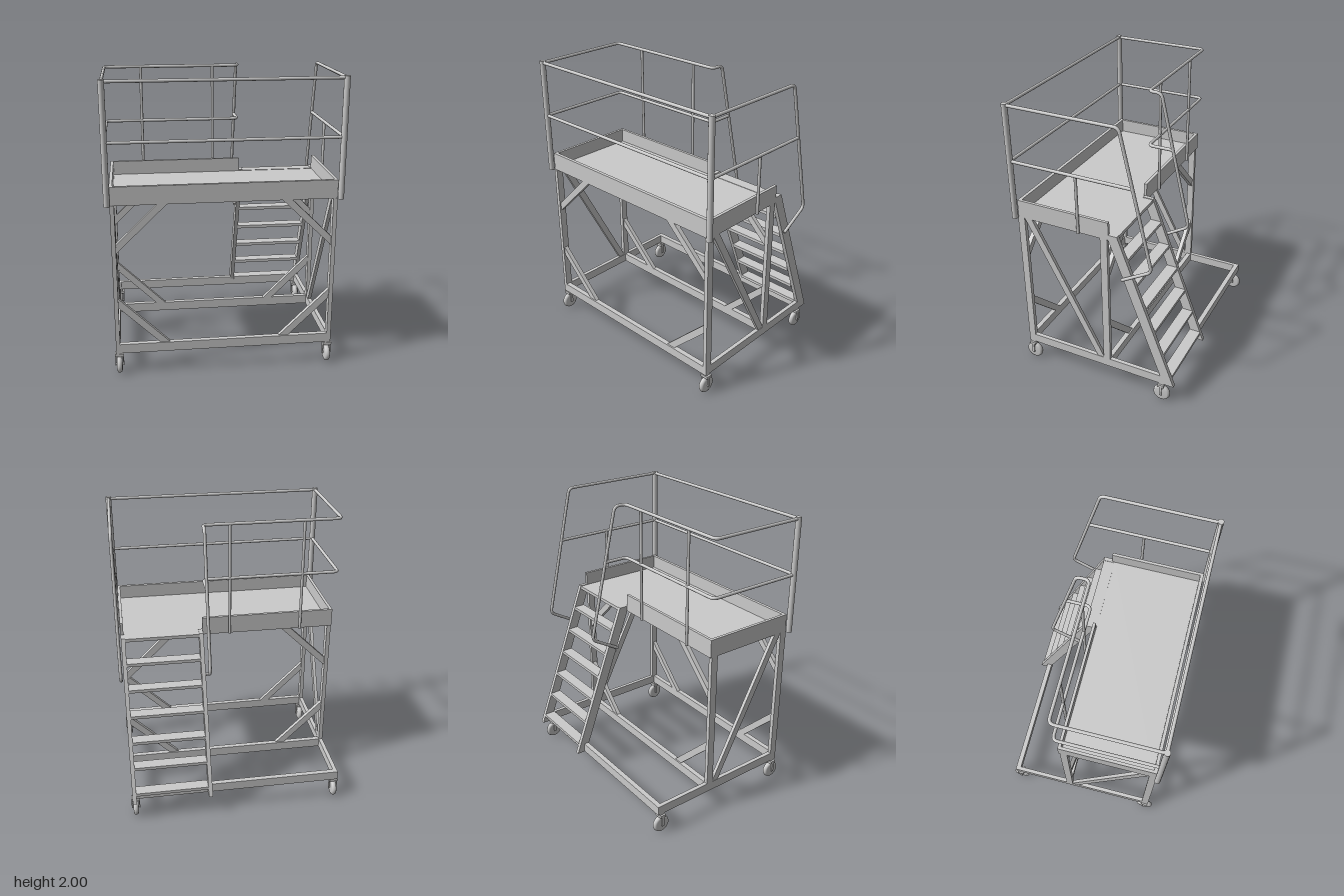
import * as THREE from 'three';

const mat = new THREE.MeshStandardMaterial({ color: 0xcccccc, side: THREE.DoubleSide });

export function createModel() {
  const root = new THREE.Group();
  const V = (x, y, z) => new THREE.Vector3(x, y, z);

  const add = (name, geo, parent = root) => {
    const m = new THREE.Mesh(geo, mat);
    m.name = name;
    parent.add(m);
    return m;
  };
  // Box given by its min and max on each axis
  const box = (name, x0, x1, y0, y1, z0, z1, parent) => {
    const g = new THREE.BoxGeometry(x1 - x0, y1 - y0, z1 - z0);
    g.translate((x0 + x1) / 2, (y0 + y1) / 2, (z0 + z1) / 2);
    return add(name, g, parent);
  };
  // Flat plate drawn in (x, y) and extruded from z0 to z1
  const plateXY = (name, pts, z0, z1) => {
    const g = new THREE.ExtrudeGeometry(new THREE.Shape(pts.map(p => new THREE.Vector2(...p))),
      { depth: z1 - z0, bevelEnabled: false });
    g.translate(0, 0, z0);
    return add(name, g);
  };
  // Flat plate drawn in (z, y) and extruded from x0 to x1
  const plateZY = (name, pts, x0, x1) => {
    const g = new THREE.ExtrudeGeometry(new THREE.Shape(pts.map(([z, y]) => new THREE.Vector2(-z, y))),
      { depth: x1 - x0, bevelEnabled: false });
    g.rotateY(Math.PI / 2);
    g.translate(x0, 0, 0);
    return add(name, g);
  };
  // Bent tube with rounded corners and closed ends
  const pipe = (name, pts, r = 0.011, bend = 0.035) => {
    const path = new THREE.CurvePath();
    let from = pts[0];
    for (let i = 1; i < pts.length - 1; i++) {
      const p = pts[i];
      const a = p.clone().add(pts[i - 1].clone().sub(p).setLength(bend));
      const b = p.clone().add(pts[i + 1].clone().sub(p).setLength(bend));
      path.add(new THREE.LineCurve3(from, a));
      path.add(new THREE.QuadraticBezierCurve3(a, p, b));
      from = b;
    }
    const last = pts[pts.length - 1];
    path.add(new THREE.LineCurve3(from, last));
    const group = new THREE.Group();
    group.name = name;
    add(name + 'Tube', new THREE.TubeGeometry(path, pts.length > 2 ? 180 : 1, r, 12), group);
    [[pts[0], pts[1]], [last, pts[pts.length - 2]]].forEach(([end, next]) => {
      const cap = add(name + 'Cap', new THREE.CircleGeometry(r, 12), group);
      cap.position.copy(end);
      cap.lookAt(end.clone().multiplyScalar(2).sub(next));
    });
    root.add(group);
  };

  // Base frame
  const B0 = 0.155, B1 = 0.22, W = 0.74, D = 1.2;
  [['front', 0.515, 0.55], ['middle', -0.11, -0.075], ['rear', -0.53, -0.495]].forEach(([n, z0, z1]) =>
    box(n + 'BaseBeam', -W + 0.028, W - 0.028, B0, B1, z0, z1));
  for (const s of [-1, 1]) {
    const xa = Math.min(s * W, s * (W - 0.028)), xb = xa + 0.028;
    box('sideBaseBeam', xa, xb, B0, B1, -0.53, 0.55);
    // Legs
    box('frontLeg', xa, xb, B1, D, 0.5, 0.55);
    box('rearLeg', xa, xb, B1, D, -0.11, -0.06);
    // Long diagonal on each side
    plateZY('sideBrace', [[0.5, D], [0.445, D], [-0.064, B1], [-0.012, B1]], xa + 0.002, xb - 0.002);
    // Corner braces on the front and rear leg planes
    for (const [z0, z1] of [[0.51, 0.54], [-0.1, -0.07]]) {
      plateXY('upperCornerBrace', [[0.715, 0.87], [0.715, 0.93], [0.44, D], [0.375, D]].map(([x, y]) => [s * x, y]), z0, z1);
      plateXY('lowerCornerBrace', [[0.715, 0.555], [0.715, 0.49], [0.44, B1], [0.375, B1]]
        .map(([x, y]) => [s * x, y]), z0, z1);
    }
  }

  // Deck and toe boards
  box('deck', -0.722, 0.722, D, 1.23, -0.1, 0.525);
  box('deckLanding', 0.2, 0.72, 1.21, 1.233, -0.18, -0.1);
  box('frontToeBoard', -W, W, D, 1.325, 0.522, 0.545);
  box('rightToeBoard', -W, -W + 0.02, D, 1.325, -0.12, 0.545);
  box('leftToeBoard', W - 0.02, W, D, 1.325, -0.12, 0.545);
  box('rearToeBoard', -W, 0.18, D, 1.325, -0.12, -0.1);

  // Stairs
  const slope = 0.377, top = 1.237;
  const rearZ = y => -0.18 - (top - y) * slope;
  for (const x of [0.18, 0.712]) {
    plateZY('stairStringer', [[-0.105, top], [-0.18, top], [rearZ(B0), B0], [rearZ(B0) + 0.075, B0]], x, x + 0.028);
  }
  for (let i = 0; i < 6; i++) {
    const y = 1.065 - i * 0.17;
    box('stairTread', 0.206, 0.714, y - 0.011, y + 0.011, rearZ(y), rearZ(y) + 0.082);
  }

  // Corner posts of the railing
  const R = 0.757, ZF = 0.56, ZB = -0.128, XS = 0.168, YT = 1.988, YM = 1.612;
  for (const s of [-1, 1]) {
    const post = add('cornerPost', new THREE.CylinderGeometry(0.02, 0.02, 0.8, 20));
    post.position.set(s * R, 1.6, ZF);
  }

  // Top rails, sloping down to the stair handrails
  const handrail = x => [V(x, YT, -0.215), V(x, 1.06, -0.428), V(x, 0.938, -0.22)];
  pipe('frontTopRail', [V(-R, YT, ZF), V(R, YT, ZF)]);
  pipe('leftTopRail', [V(R, YT, ZF), ...handrail(R)]);
  pipe('rightTopRail', [V(-R, YT, ZF), V(-R, YT, ZB), V(XS, YT, ZB), ...handrail(XS)]);

  // Middle rails
  pipe('frontMiddleRail', [V(-R, YM, ZF), V(R, YM, ZF)]);
  pipe('leftMiddleRail', [V(R, YM, ZF), V(R, YM, -0.3)]);
  pipe('rightMiddleRail', [V(-R, YM, ZF), V(-R, YM, ZB), V(XS, YM, ZB), V(XS, YM, -0.3)]);

  // Railing uprights
  for (const x of [-0.508, -0.01]) pipe('rearUpright', [V(x, D, ZB), V(x, YT, ZB)], 0.01);
  pipe('leftUpright', [V(0.75, D, 0.09), V(0.75, YM, 0.09)], 0.01);

  // Casters
  const tyre = [[0, -0.018], [0.045, -0.018], [0.056, -0.013], [0.061, 0], [0.056, 0.013], [0.045, 0.018], [0, 0.018]]
    .map(p => new THREE.Vector2(...p));
  for (const x of [-0.72, 0.72]) for (const z of [0.525, -0.495]) {
    const caster = new THREE.Group();
    caster.name = 'caster';
    caster.position.set(x, 0, z);
    const wheel = add('wheel', new THREE.LatheGeometry(tyre, 32), caster);
    wheel.rotation.z = Math.PI / 2;
    wheel.position.y = 0.063;
    const axle = add('axle', new THREE.CylinderGeometry(0.007, 0.007, 0.06, 12), caster);
    axle.rotation.z = Math.PI / 2;
    axle.position.y = 0.063;
    box('forkCrown', -0.03, 0.03, 0.126, 0.145, -0.022, 0.022, caster);
    box('swivelStem', -0.018, 0.018, 0.14, 0.158, -0.018, 0.018, caster);
    for (const s of [-1, 1]) {
      box('forkArm', s * 0.026 - 0.004, s * 0.026 + 0.004, 0.055, 0.13, -0.009, 0.009, caster);
    }
    root.add(caster);
  }
  return root;
}
